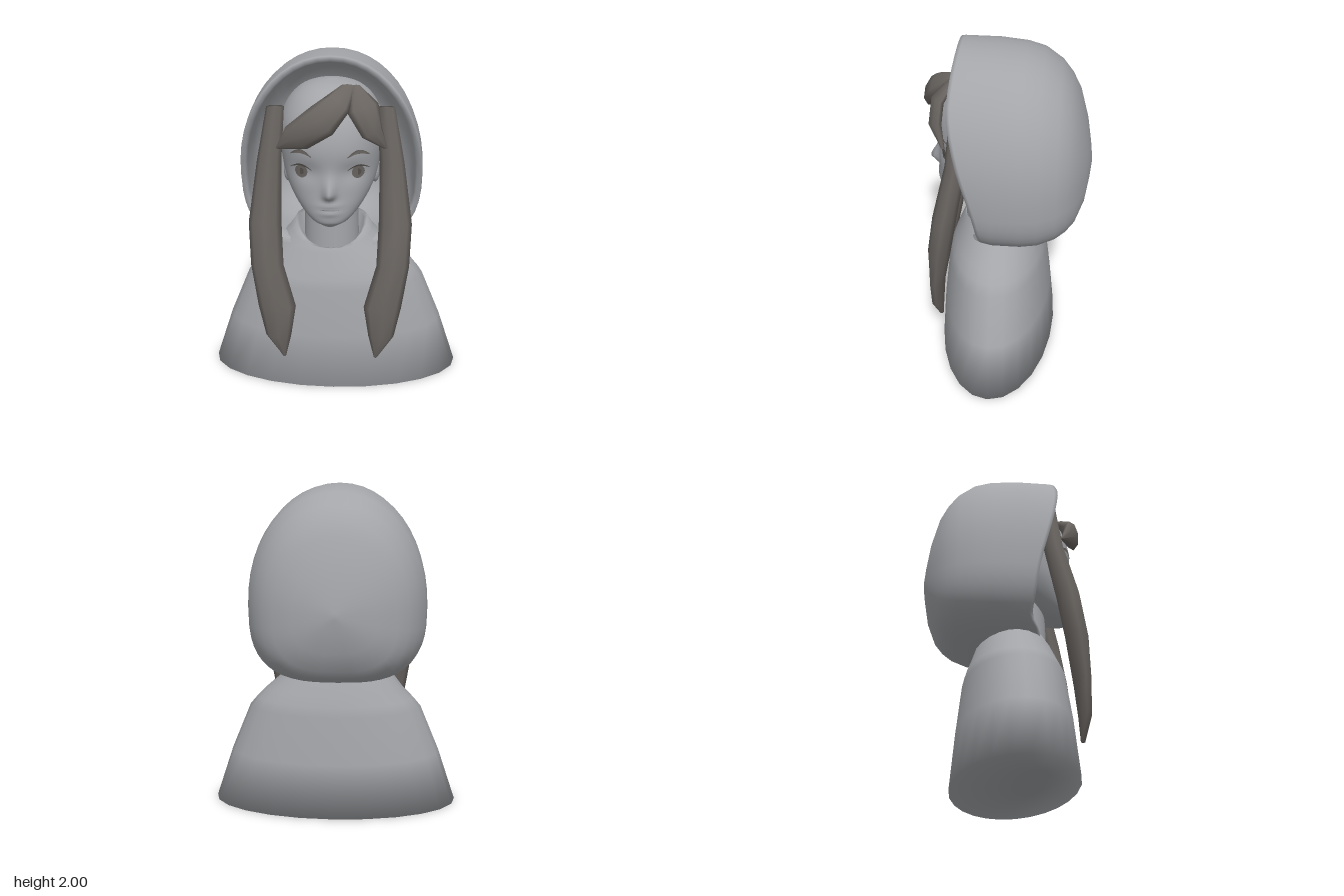
import * as THREE from 'three';

const CX = -0.02; // head, hood and hair sit slightly off the middle

const material = (name, hex) => {
  const m = new THREE.MeshStandardMaterial({ color: hex });
  m.name = name;
  return m;
};

// Closed smooth skin over a list of rings; capped at both ends, always facing outwards
function loft(rings) {
  const n = rings[0].length, pos = rings.flat(2), idx = [];
  for (let r = 0; r < rings.length - 1; r++)
    for (let i = 0; i < n; i++) {
      const a = r * n + i, b = r * n + (i + 1) % n;
      idx.push(a, b, a + n, b, b + n, a + n);
    }
  [0, rings.length - 1].forEach((r, end) => {
    const c = [0, 1, 2].map(k => rings[r].reduce((s, p) => s + p[k], 0) / n);
    const ci = pos.length / 3;
    pos.push(...c);
    for (let i = 0; i < n; i++) {
      const a = r * n + i, b = r * n + (i + 1) % n;
      idx.push(...(end ? [a, b, ci] : [b, a, ci]));
    }
  });
  const v = i => new THREE.Vector3().fromArray(pos, i * 3);
  let volume = 0;
  for (let i = 0; i < idx.length; i += 3)
    volume += v(idx[i]).dot(v(idx[i + 1]).cross(v(idx[i + 2])));
  if (volume < 0) idx.reverse();
  const g = new THREE.BufferGeometry();
  g.setAttribute('position', new THREE.Float32BufferAttribute(pos, 3));
  g.setIndex(idx);
  g.computeVertexNormals();
  return g;
}

const ring = (n, f) => Array.from({ length: n }, (_, i) => f(i / n * Math.PI * 2));
const pw = (v, e) => Math.sign(v) * Math.pow(Math.abs(v), e);

// Smooth curve through rows [key, ...values]
function sample(rows, t) {
  let i = 0;
  while (i < rows.length - 2 && t > rows[i + 1][0]) i++;
  const a = rows[i], b = rows[i + 1], h = b[0] - a[0];
  const u = THREE.MathUtils.clamp((t - a[0]) / h, 0, 1);
  const slope = (j, k) => {
    const p = rows[Math.max(j - 1, 0)], q = rows[Math.min(j + 1, rows.length - 1)];
    return (q[k] - p[k]) / (q[0] - p[0]);
  };
  return a.slice(1).map((_, c) => {
    const k = c + 1, u2 = u * u, u3 = u2 * u;
    return (2 * u3 - 3 * u2 + 1) * a[k] + (u3 - 2 * u2 + u) * h * slope(i, k)
      + (3 * u2 - 2 * u3) * b[k] + (u3 - u2) * h * slope(i + 1, k);
  });
}

// Head rows: y, half width, front z, back z
const HEAD = [
  [1.042, 0.035, 0.385, 0.32], [1.075, 0.105, 0.415, 0.22], [1.15, 0.18, 0.42, 0.08],
  [1.25, 0.242, 0.415, -0.05], [1.35, 0.278, 0.415, -0.18], [1.5, 0.3, 0.425, -0.27],
  [1.62, 0.295, 0.40, -0.27], [1.72, 0.25, 0.345, -0.22], [1.79, 0.18, 0.27, -0.13],
  [1.825, 0.10, 0.19, -0.03], [1.84, 0.02, 0.1, 0.06],
];
const SQ = 2.2;
const bell = (d, s) => Math.exp(-(d * d) / (s * s));

// Nose, lips and eye sockets pushed out of the face
function relief(x, y) {
  const nose = 0.06 * bell(x, 0.03) * bell(y - 1.25, y > 1.25 ? 0.08 : 0.03);
  const lips = 0.01 * bell(x, 0.06) * (bell(y - 1.18, 0.017) + bell(y - 1.135, 0.018));
  const socket = 0.018 * bell(Math.abs(x) - 0.13, 0.075) * bell(y - 1.37, 0.055);
  return nose + lips - socket;
}
function faceZ(x, y) {
  const [w, f, b] = sample(HEAD, y), c = (f + b) / 2;
  const k = Math.max(0, 1 - Math.pow(Math.abs(x) / w, SQ));
  return c + (f - c) * Math.pow(k, 1 / SQ) + relief(x, y);
}
function headGeometry() {
  const rows = 80;
  return loft(Array.from({ length: rows + 1 }, (_, i) => {
    const y = 1.441 - 0.399 * Math.cos(Math.PI * i / rows);
    const [w, f, b] = sample(HEAD, y), c = (f + b) / 2;
    return ring(96, a => {
      const x = w * pw(Math.cos(a), 2 / SQ), s = Math.sin(a);
      return [x, y, c + (f - c) * pw(s, 2 / SQ) + (s > 0 ? relief(x, y) : 0)];
    });
  }));
}

// Thin painted shape draped over the face
function decal(points, lift) {
  const g = new THREE.ShapeGeometry(new THREE.Shape(points.map(p => new THREE.Vector2(...p))));
  const p = g.attributes.position;
  for (let i = 0; i < p.count; i++) p.setZ(i, faceZ(p.getX(i), p.getY(i)) + lift);
  g.computeVertexNormals();
  return g;
}
const disc = (x, y, rx, ry) => ring(20, a => [x + rx * Math.cos(a), y + ry * Math.sin(a)]);
// Tapered arch from x0 to x1
function arch(x0, x1, y, rise, thick) {
  const up = [], down = [];
  for (let i = 0; i <= 10; i++) {
    const t = i / 10, x = x0 + (x1 - x0) * t, s = Math.sin(Math.PI * t);
    up.push([x, y + rise * s + thick * (0.25 + 0.75 * s)]);
    down.unshift([x, y + rise * s]);
  }
  return [...up, ...down];
}

// Hair strand from rows of two edge points and a half thickness
function strand(rows) {
  const A = rows.map(r => new THREE.Vector3(...r.slice(0, 3)));
  const B = rows.map(r => new THREE.Vector3(...r.slice(3, 6)));
  const mid = A.map((a, i) => a.clone().add(B[i]).multiplyScalar(0.5));
  return loft(rows.map((r, i) => {
    const path = mid[Math.min(i + 1, mid.length - 1)].clone().sub(mid[Math.max(i - 1, 0)]);
    const half = B[i].clone().sub(A[i]).multiplyScalar(0.5);
    const out = half.clone().cross(path).normalize().multiplyScalar(r[6]);
    return ring(8, a => mid[i].clone().addScaledVector(half, Math.cos(a))
      .addScaledVector(out, Math.sin(a)).toArray());
  }));
}

// Hood layers from front to back: z, top, bottom, half width
const HOOD = [
  [0.06, 1.997, 0.823, 0.541], [-0.1, 1.98, 0.82, 0.537], [-0.2, 1.95, 0.83, 0.52],
  [-0.3, 1.88, 0.86, 0.472], [-0.36, 1.805, 0.895, 0.42], [-0.41, 1.71, 0.945, 0.355],
  [-0.46, 1.53, 1.06, 0.24], [-0.485, 1.38, 1.19, 0.11], [-0.495, 1.3, 1.26, 0.02],
];
// Rim depth by height
const RIM = [[0.8, 0.21], [0.86, 0.19], [0.91, 0.135], [1.0, 0.14], [1.2, 0.17],
  [1.5, 0.25], [1.75, 0.3], [1.9, 0.293], [2.0, 0.28]];
function hoodGeometry() {
  const layer = (z, top, bottom, w, inset, forward) => ring(48, a => {
    const c = Math.cos(a), s = Math.sin(a), e = 2 / (s < 0 ? 2.9 : 2.08);
    const y = 1.28 + (s > 0 ? top - 1.28 - inset : 1.28 - bottom - inset) * pw(s, e);
    return [(w - inset) * pw(c, e), y, forward === undefined ? z : sample(RIM, y)[0] + forward];
  });
  const rim = (inset, forward) => layer(0, 2, 0.828, 0.53, inset, forward);
  const inner = HOOD.slice(0, 7).map(([z, ...r]) => layer(z + 0.04, ...r, 0.045)).reverse();
  const outer = HOOD.map(r => layer(...r, 0));
  return loft([...inner, rim(0.04, -0.03), rim(0.03, 0), rim(0.004, 0), rim(0, -0.02), ...outer]);
}

// Cape rows from the shallow hollow underside up: y, half width, front z, back z, dip of the front edge
const CAPE = [
  [0.05, 0.3, 0.27, 0.08, 0], [0, 0.77, 0.43, -0.305, 0],
  [0.33, 0.66, 0.405, -0.275, 0], [0.62, 0.54, 0.372, -0.242, 0],
  [0.68, 0.49, 0.352, -0.228, 0], [0.74, 0.43, 0.33, -0.205, 0], [0.84, 0.335, 0.29, -0.17, 0.01],
  [0.94, 0.25, 0.278, -0.12, 0.08], [1.0, 0.215, 0.272, -0.1, 0.14], [0.99, 0.195, 0.26, -0.08, 0.15],
  [0.85, 0.15, 0.2, -0.03, 0.03],
];
const capeGeometry = () => loft(CAPE.map(([y, w, f, b, dip], i) => ring(24, a => {
  const s = Math.sin(a), x = i > 5 ? CX : 0;
  return [x + w * Math.cos(a), y - dip * Math.max(0, s), (f + b) / 2 + (f - b) / 2 * s];
})));

export function createModel() {
  const model = new THREE.Group();
  model.name = 'hoodedBust';
  const grey = material('grey', 0xa3a5a9);
  const hair = material('hairBrown', 0x6a6561);
  const iris = material('irisBrown', 0x6a6561);
  const dark = material('pupilDark', 0x54504d);
  const shade = material('mouthGrey', 0x85868a);
  const upper = new THREE.Group();
  upper.name = 'headAndHood';
  upper.position.x = CX;
  model.add(upper);
  const add = (name, geometry, mat, parent = upper) => {
    const m = new THREE.Mesh(geometry, mat);
    m.name = name;
    parent.add(m);
    return m;
  };

  add('cape', capeGeometry(), grey, model);
  add('hood', hoodGeometry(), grey);
  add('head', headGeometry(), grey);
  add('neck', new THREE.CylinderGeometry(0.155, 0.168, 0.5, 32), grey).position.set(0, 1.03, 0.1);
  add('mouth', decal(arch(-0.055, 0.055, 1.158, -0.005, 0.007), 0.006), shade);

  // Mirrored parts
  for (const s of [1, -1]) {
    const side = s > 0 ? 'left' : 'right';
    const span = (a, b) => s > 0 ? [a, b] : [-b, -a];
    const ear = add(side + 'Ear', new THREE.SphereGeometry(1, 16, 12), grey);
    ear.scale.set(0.028, 0.07, 0.05);
    ear.position.set(s * 0.258, 1.29, 0.09);
    add(side + 'Iris', decal(disc(s * 0.16, 1.37, 0.036, 0.037), 0.006), iris);
    add(side + 'Pupil', decal(disc(s * 0.16, 1.37, 0.017, 0.019), 0.009), dark);
    add(side + 'LashLine', decal(arch(...span(0.1, 0.225), 1.382, 0.023, 0.011), 0.008), dark);
    add(side + 'Eyebrow', decal(arch(...span(0.1, 0.222), 1.462, 0.018, 0.023), 0.006), hair);
    // y, inner x, outer x, middle z, half thickness
    add(side + 'SideLock', strand([
      [1.71, 0.26, 0.36, 0.25, 0.045], [1.4, 0.28, 0.42, 0.27, 0.06],
      [1.05, 0.28, 0.47, 0.345, 0.07], [0.8, 0.27, 0.46, 0.388, 0.068],
      [0.55, 0.2, 0.42, 0.42, 0.05], [0.36, 0.23, 0.38, 0.427, 0.04],
      [0.21, 0.265, 0.285, 0.415, 0.012],
    ].map(([y, a, b, z, t]) => [s * a, y, z, s * b, y, z, t])), hair);
  }

  // Fringe parted on the left
  add('rightFringe', strand([
    [0.05, 1.835, 0.3, 0.14, 1.835, 0.3, 0.02],
    [-0.02, 1.80, 0.385, 0.105, 1.72, 0.42, 0.035],
    [-0.10, 1.75, 0.42, 0.02, 1.61, 0.47, 0.048],
    [-0.24, 1.63, 0.385, -0.12, 1.52, 0.44, 0.04],
    [-0.30, 1.5, 0.335, -0.28, 1.49, 0.345, 0.01],
  ]), hair);
  add('leftFringe', strand([
    [0.11, 1.835, 0.3, 0.17, 1.835, 0.29, 0.02],
    [0.1, 1.71, 0.41, 0.265, 1.755, 0.35, 0.035],
    [0.18, 1.58, 0.42, 0.285, 1.63, 0.365, 0.035],
    [0.3, 1.5, 0.35, 0.32, 1.5, 0.335, 0.01],
  ]), hair);
  return model;
}
